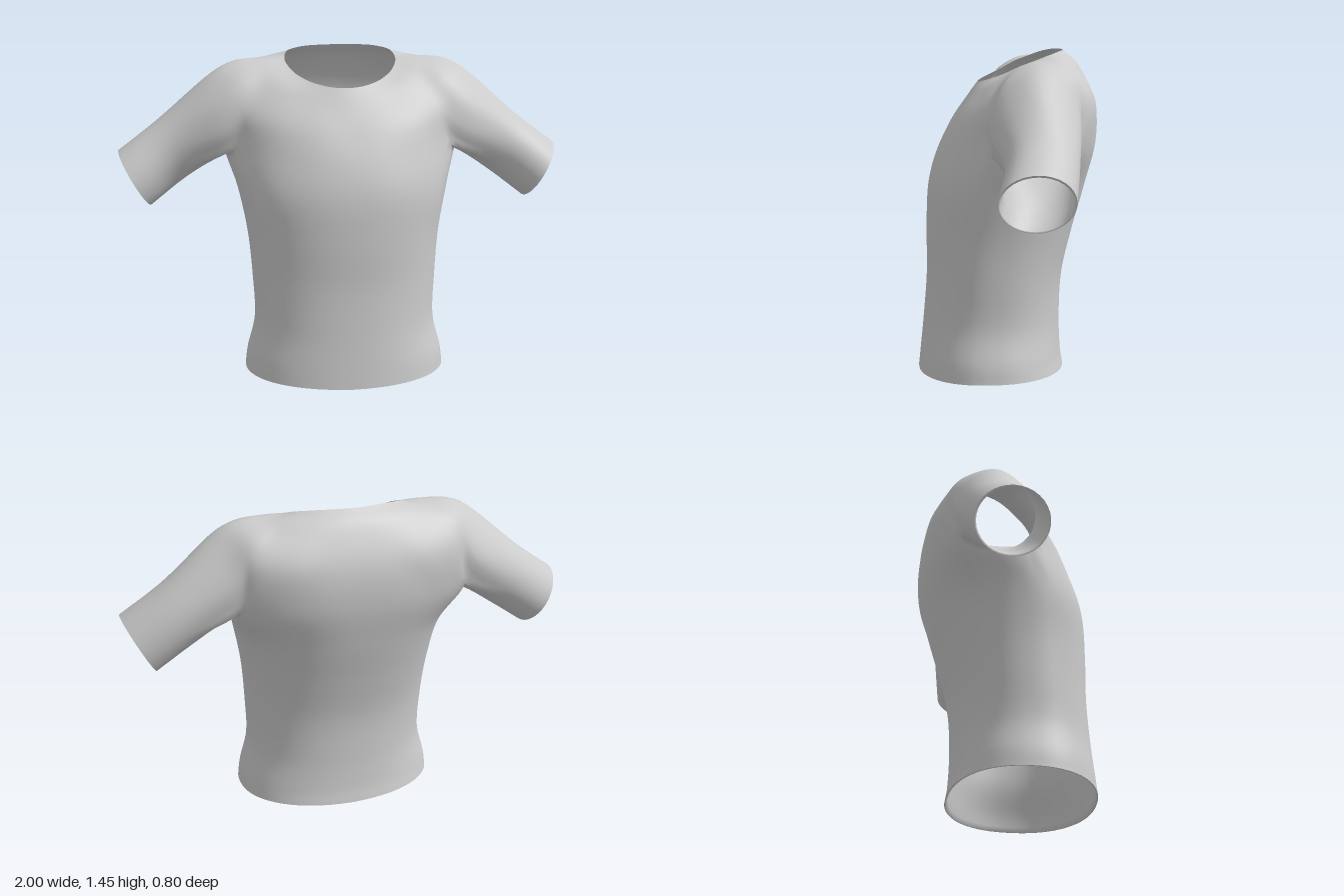
import * as THREE from 'three';
import { mergeVertices } from 'three/addons/utils/BufferGeometryUtils.js';

const V = (x, y, z) => new THREE.Vector3(x, y, z);
const rad = THREE.MathUtils.degToRad;
const SUB = 6;                 // rows between two key rings
const F = 12, S = 24, U = 12;  // columns: front or back panel, sleeve cap, underarm

// Yoke key rings for the left half, front centre to back centre:
// 3 spans of front panel, 6 of sleeve cap, 3 of back panel
const NECK = [[0, 1.31, .125], [.075, 1.315, .113], [.145, 1.33, .075], [.195, 1.35, .025],
  [.225, 1.37, -.015], [.243, 1.39, -.055], [.252, 1.405, -.095], [.25, 1.42, -.135], [.24, 1.433, -.17], [.215, 1.442, -.2],
  [.155, 1.45, -.232], [.08, 1.452, -.25], [0, 1.452, -.258]];
const COLLAR = [[0, 1.255, .165], [.11, 1.26, .152], [.21, 1.275, .12], [.29, 1.3, .08],
  [.325, 1.335, .03], [.35, 1.38, -.03], [.365, 1.408, -.1], [.36, 1.41, -.17], [.345, 1.403, -.225], [.315, 1.39, -.265],
  [.22, 1.385, -.3], [.11, 1.385, -.32], [0, 1.385, -.325]];
const SHOULDER = [[0, 1.13, .245], [.14, 1.14, .235], [.28, 1.155, .195], [.4, 1.18, .125],
  [.435, 1.24, .08], [.465, 1.335, .02], [.485, 1.397, -.1], [.48, 1.385, -.2], [.465, 1.34, -.275], [.44, 1.26, -.325],
  [.3, 1.235, -.375], [.15, 1.23, -.39], [0, 1.23, -.394]];
const CHEST = [[0, 1, .31], [.18, 1, .29], [.35, 1.01, .215], [.485, 1.04, .085],
  [.535, 1.12, .085], [.57, 1.24, .045], [.6, 1.335, -.09], [.59, 1.29, -.215], [.56, 1.17, -.29], [.51, 1.05, -.27],
  [.38, 1.04, -.335], [.2, 1.05, -.388], [0, 1.05, -.398]];
// Torso rings: height, half width, front z, back z
const TORSO = [[.85, .475, .35, -.355], [.65, .435, .36, -.3], [.45, .417, .36, -.255],
  [.25, .41, .375, -.245], [.1, .445, .39, -.25], [.004, .455, .4, -.262]];
// Sleeve rings: centre x, y, z, half axis x, y and half depth
const SLEEVE = [[.76, 1.012, -.115, .06, .133, .152], [.93, .885, -.083, .07, .125, .157]];

// Smooth half ring through mirrored control points
function halfRing(pts) {
  const mirrored = pts.slice(1, -1).reverse().map(([x, y, z]) => V(-x, y, z));
  const curve = new THREE.CatmullRomCurve3([...pts.map(p => V(...p)), ...mirrored], true, 'catmullrom', .5);
  const n = 2 * F + S;
  return Array.from({ length: n + 1 }, (_, i) => {
    const p = curve.getPoint(i / n / 2);
    if (i === 0 || i === n) p.x = 0;
    return p;
  });
}

// Steps of equal angle within each stretch of a ring
function angles(stops, counts) {
  const out = [stops[0]];
  counts.forEach((n, s) => {
    for (let i = 1; i <= n; i++) out.push(rad(stops[s] + (stops[s + 1] - stops[s]) * i / n));
  });
  out[0] = rad(stops[0]);
  return out;
}

function torsoRing([y, w, zf, zb], isHem) {
  return angles([0, 72, 115, 180], [F, U, F]).map(a => {
    const s = Math.max(0, Math.sin(a)), c = Math.cos(a);
    const x = s < 1e-6 ? 0 : w * s ** .9;
    const z = (zf + zb) / 2 + (zf - zb) / 2 * Math.sign(c) * Math.abs(c) ** .9;
    return V(x, y + (isHem ? .012 * s + .007 * (1 - c) : 0), z);
  });
}

const sleeveRing = ([x, y, z, ax, ay, d]) =>
  angles([125, -125, -235], [S, U]).map(a => V(x + ax * Math.cos(a), y + ay * Math.cos(a), z + d * Math.sin(a)));

// Rows of a smooth loft through key rings, steered by a ring before and after
function loft(keys, before, after) {
  const all = [before, ...keys, after], rows = [];
  for (let k = 1; k < all.length - 2; k++) {
    for (let j = k === 1 ? 0 : 1; j <= SUB; j++) {
      const t = j / SUB;
      rows.push(all[k].map((p1, i) => {
        const p0 = all[k - 1][i], p2 = all[k + 1][i], p3 = all[k + 2][i];
        const f = (a, b, c, d) => b + .5 * t * (c - a + t * (2 * a - 5 * b + 4 * c - d + t * (3 * (b - c) + d - a)));
        return V(f(p0.x, p1.x, p2.x, p3.x), f(p0.y, p1.y, p2.y, p3.y), f(p0.z, p1.z, p2.z, p3.z));
      }));
    }
  }
  return rows;
}

const extend = (a, b) => b.map((p, i) => p.clone().multiplyScalar(2).sub(a[i]));

// Triangles between rows; side -1 gives the mirrored half
function addRows(out, rows, side) {
  const put = p => out.push(side * p.x + .012 * (1 - Math.abs(p.x)), p.y, p.z);
  for (let r = 0; r < rows.length - 1; r++) {
    for (let c = 0; c < rows[r].length - 1; c++) {
      const a = rows[r][c], b = rows[r + 1][c], d = rows[r][c + 1], e = rows[r + 1][c + 1];
      (side > 0 ? [a, b, d, b, e, d] : [a, d, b, b, d, e]).forEach(put);
    }
  }
}

// Cloth turned inward along an open edge
function foldRows(rows, centre) {
  const edge = rows.at(-1), inner = rows.at(-3);
  const inset = p => p.clone().add(centre.clone().sub(p).setLength(.009));
  return [edge, edge.map(inset), inner.map(inset)];
}

export function createModel() {
  const group = new THREE.Group();
  const cloth = new THREE.MeshStandardMaterial({ color: 0xcccccc, side: THREE.DoubleSide });
  cloth.name = 'light grey cloth';

  function addMesh(name, parts) {
    const tris = [];
    parts.forEach(([rows, side]) => addRows(tris, rows, side));
    let geo = new THREE.BufferGeometry();
    geo.setAttribute('position', new THREE.Float32BufferAttribute(tris, 3));
    geo = mergeVertices(geo, 1e-4);
    geo.computeVertexNormals();
    const mesh = new THREE.Mesh(geo, cloth);
    mesh.name = name;
    group.add(mesh);
  }

  const [neck, collar, shoulder, chest] = [NECK, COLLAR, SHOULDER, CHEST].map(halfRing);
  const torso = TORSO.map((t, i) => torsoRing(t, i === TORSO.length - 1));
  const sleeves = SLEEVE.map(sleeveRing);

  // Underarm line joins the front and back corners of the armhole
  const cf = chest[F], cb = chest[F + S];
  const under = new THREE.CatmullRomCurve3(
    [cf, V(.515, 1.006, .005), V(.525, .995, -.09), V(.52, 1.006, -.19), cb]).getPoints(U);

  // Yoke leads into the torso at front and back and into the sleeve between
  const next = chest.map((_, i) => {
    const body = i <= F ? torso[0][i] : i >= F + S ? torso[0][i - S + U] : null;
    const arm = i >= F && i <= F + S ? sleeves[0][i - F] : null;
    return body && arm ? body.clone().lerp(arm, .5) : body || arm;
  });
  const yoke = loft([neck, collar, shoulder, chest], extend(collar, neck), next);

  // Torso, from chest and underarm down to the hem
  const bodyTop = [...chest.slice(0, F), ...under, ...chest.slice(F + S + 1)];
  const bodyBefore = [...shoulder.slice(0, F + 1),
    ...under.slice(1, -1).map(p => V(p.x + .02, p.y + .15, p.z)), ...shoulder.slice(F + S)];
  const body = loft([bodyTop, ...torso], bodyBefore, extend(torso.at(-2), torso.at(-1)));

  // Sleeve, from the armhole out to the cuff
  const armhole = [...chest.slice(F, F + S), ...under.slice().reverse()];
  const armBefore = [...shoulder.slice(F, F + S + 1),
    ...under.slice(1).reverse().slice(1).map(p => V(p.x - .12, p.y + .03, p.z)), shoulder[F]];
  const arm = loft([armhole, ...sleeves], armBefore, extend(sleeves[0], sleeves[1]));

  addMesh('shirt', [yoke, body, arm].flatMap(rows => [[rows, 1], [rows, -1]]));

  const hem = foldRows(body, V(0, .02, .07));
  addMesh('hemFold', [[hem, 1], [hem, -1]]);
  const cuff = foldRows(arm, V(.93, .885, -.083));
  addMesh('leftCuffFold', [[cuff, 1]]);
  addMesh('rightCuffFold', [[cuff, -1]]);
  return group;
}
